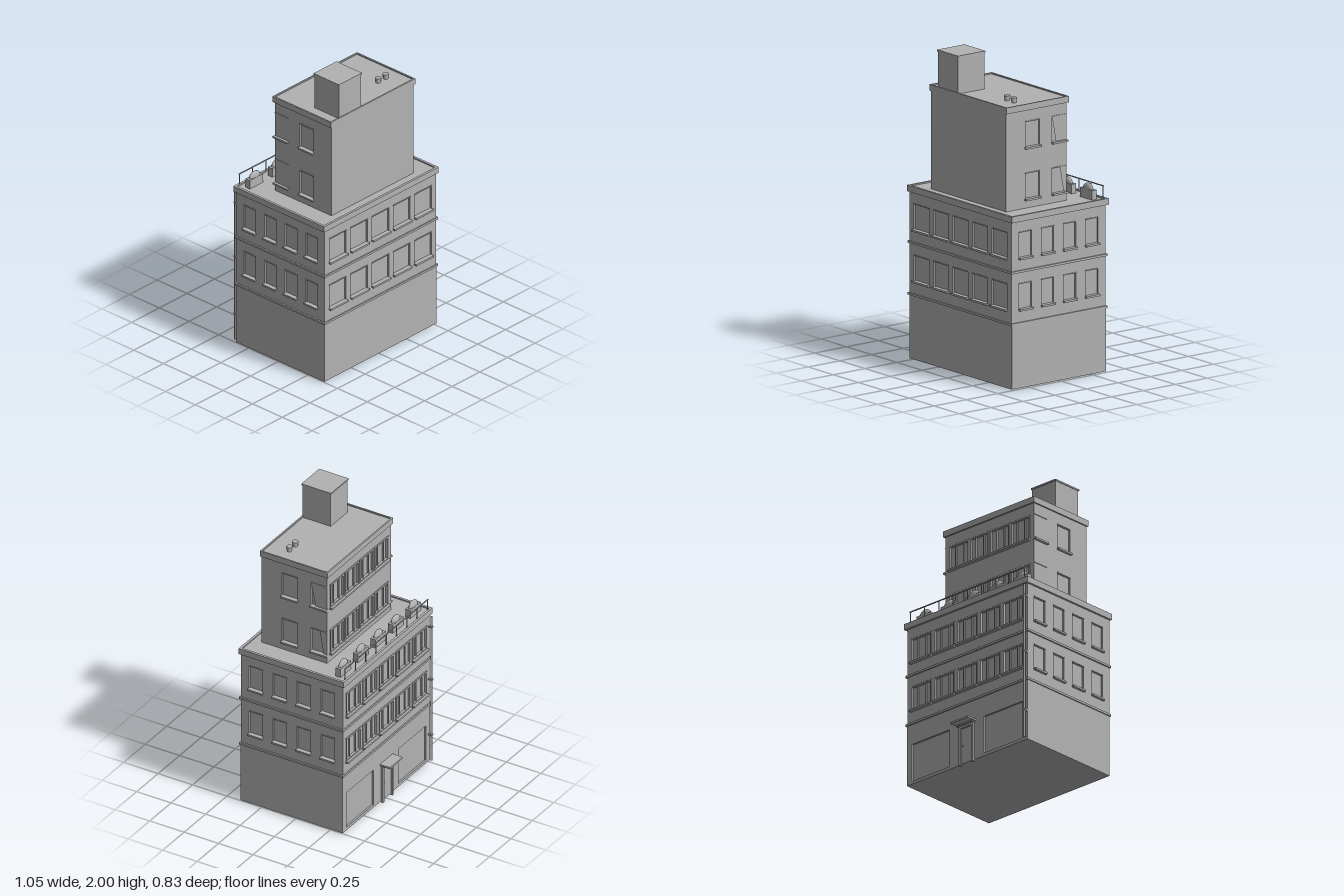
import * as THREE from 'three';

const concrete = new THREE.MeshStandardMaterial({ color: 0xb2b2b2 });
concrete.name = 'concrete grey';
const T = 0.012; // depth of the wall skin, and so of the window recesses

function add(parent, name, geometry, x = 0, y = 0, z = 0) {
  const mesh = new THREE.Mesh(geometry, concrete);
  mesh.name = name;
  mesh.position.set(x, y, z);
  parent.add(mesh);
  return mesh;
}

// Box given by its lower and upper corners
function box(parent, name, x0, x1, y0, y1, z0, z1) {
  return add(parent, name, new THREE.BoxGeometry(x1 - x0, y1 - y0, z1 - z0),
    (x0 + x1) / 2, (y0 + y1) / 2, (z0 + z1) / 2);
}

function rectanglePath(path, x0, x1, y0, y1) {
  path.moveTo(x0, y0);
  path.lineTo(x1, y0);
  path.lineTo(x1, y1);
  path.lineTo(x0, y1);
  path.closePath();
  return path;
}

// Wall plate with rectangular openings, outer face at z = 0
function wall(parent, name, width, y0, y1, openings) {
  const shape = rectanglePath(new THREE.Shape(), -width / 2, width / 2, y0, y1);
  for (const o of openings) shape.holes.push(rectanglePath(new THREE.Path(), o.x0, o.x1, o.y0, o.y1));
  add(parent, name, new THREE.ExtrudeGeometry(shape, { depth: T, bevelEnabled: false }), 0, 0, -T);
}

// Frame and mullions inside an opening
function windowFrame(parent, o) {
  const b = 0.008, z0 = -T, z1 = 0.004;
  box(parent, 'windowFrameTop', o.x0, o.x1, o.y1 - b, o.y1, z0, z1);
  box(parent, 'windowFrameBottom', o.x0, o.x1, o.y0, o.y0 + b, z0, z1);
  box(parent, 'windowFrameSide', o.x0, o.x0 + b, o.y0, o.y1, z0, z1);
  box(parent, 'windowFrameSide', o.x1 - b, o.x1, o.y0, o.y1, z0, z1);
  for (const f of [0.3, 0.7]) {
    const x = o.x0 + (o.x1 - o.x0) * f;
    box(parent, 'mullion', x - 0.003, x + 0.003, o.y0, o.y1, z0, -0.002);
  }
}

// One face of a block: openings, sills, lintels and optional frames
function facade(parent, name, angle, width, offset, y0, y1, centres, winW, rows, framed) {
  const g = new THREE.Group();
  g.name = name;
  g.rotation.y = angle;
  const openings = [];
  for (const y of rows) for (const c of centres) {
    openings.push({ x0: c - winW / 2 + 0.004, x1: c + winW / 2 - 0.004, y0: y, y1: y + 0.16 });
  }
  wall(g, 'wallSkin', width, y0, y1, openings);
  for (const o of openings) {
    box(g, 'sill', o.x0 - 0.004, o.x1 + 0.004, o.y0 - 0.012, o.y0, -T, framed ? 0.02 : 0.018);
    box(g, 'lintel', o.x0 - 0.002, o.x1 + 0.002, o.y1, o.y1 + 0.005, -T, 0.005);
    if (framed) windowFrame(g, o);
  }
  g.position.set(Math.sin(angle) * offset, 0, Math.cos(angle) * offset);
  parent.add(g);
}

// Rectangular block with four facades; centres are given in model axes about the block's middle
function block(parent, name, b, faces) {
  const g = new THREE.Group();
  g.name = name;
  g.position.set(b.cx, 0, b.cz);
  box(g, 'core', -b.w / 2 + T, b.w / 2 - T, b.y0, b.y1, -b.d / 2 + T, b.d / 2 - T);
  facade(g, 'frontFacade', 0, b.w, b.d / 2, b.y0, b.y1, faces.front, faces.frontW, b.rows, false);
  facade(g, 'backFacade', Math.PI, b.w, b.d / 2, b.y0, b.y1, faces.back, faces.backW, b.rows, true);
  facade(g, 'leftFacade', Math.PI / 2, b.d - 2 * T, b.w / 2, b.y0, b.y1, faces.side.map(z => -z), faces.sideW, b.rows, false);
  facade(g, 'rightFacade', -Math.PI / 2, b.d - 2 * T, b.w / 2, b.y0, b.y1, faces.side, faces.sideW, b.rows, false);
  parent.add(g);
}

// Roof slab with a low rim
function roof(parent, name, x0, x1, z0, z1, y0, y1, rim) {
  box(parent, name + 'Slab', x0, x1, y0, y1 - 0.008, z0, z1);
  const shape = rectanglePath(new THREE.Shape(), x0, x1, -z1, -z0);
  shape.holes.push(rectanglePath(new THREE.Path(), x0 + rim, x1 - rim, -z1 + rim, -z0 - rim));
  const geo = new THREE.ExtrudeGeometry(shape, { depth: 0.008, bevelEnabled: false });
  geo.rotateX(-Math.PI / 2);
  add(parent, name + 'Rim', geo, 0, y1 - 0.008, 0);
}

const spread = (n, pitch) => Array.from({ length: n }, (_, i) => (i - (n - 1) / 2) * pitch);

export function createModel() {
  const model = new THREE.Group();
  model.name = 'officeBuilding';

  // Ground floor with shallow shopfronts on the back
  const ground = new THREE.Group();
  ground.name = 'groundFloor';
  box(ground, 'groundFloorCore', -0.508, 0.508, 0.01, 0.415, -0.345 + T, 0.396);
  const shops = new THREE.Group();
  shops.name = 'shopfront';
  shops.rotation.y = Math.PI;
  shops.position.z = -0.345;
  wall(shops, 'shopWall', 1.016, 0.01, 0.415, [
    { x0: -0.465, x1: -0.15, y0: 0.03, y1: 0.28 },
    { x0: 0.14, x1: 0.465, y0: 0.03, y1: 0.28 },
  ]);
  ground.add(shops);
  model.add(ground);

  // Entrance door and canopy
  const door = new THREE.Group();
  door.name = 'entrance';
  box(door, 'doorLeaf', -0.047, 0.047, 0.01, 0.25, -0.349, -0.34);
  for (const s of [-1, 1]) box(door, 'doorJamb', s * 0.053 - 0.007, s * 0.053 + 0.007, 0, 0.262, -0.36, -0.34);
  box(door, 'doorHead', -0.06, 0.06, 0.248, 0.262, -0.36, -0.34);
  box(door, 'canopy', -0.074, 0.074, 0.27, 0.282, -0.418, -0.34);
  box(door, 'canopySupport', -0.065, 0.065, 0.262, 0.27, -0.375, -0.34);
  add(door, 'doorKnob', new THREE.SphereGeometry(0.005, 10, 8), 0.034, 0.13, -0.352);
  model.add(door);

  // Two middle storeys
  block(model, 'middleStoreys',
    { cx: 0, cz: 0.0255, w: 1.01, d: 0.741, y0: 0.415, y1: 1.07, rows: [0.512, 0.838] },
    { front: spread(5, 0.193), frontW: 0.16, back: spread(5, 0.193), backW: 0.178,
      side: spread(4, 0.174), sideW: 0.106 });
  for (const y of [0.42, 0.75]) box(model, 'stringCourse', -0.515, 0.515, y - 0.006, y + 0.008, -0.353, 0.403);
  roof(model, 'terrace', -0.519, 0.519, -0.359, 0.404, 1.07, 1.11, 0.016);

  // Two set-back upper storeys
  block(model, 'upperStoreys',
    { cx: -0.002, cz: 0.0935, w: 0.744, d: 0.477, y0: 1.1, y1: 1.725, rows: [1.162, 1.49] },
    { front: [], frontW: 0.1, back: spread(4, 0.172), backW: 0.17, side: [-0.18, 0.031], sideW: 0.12 });
  roof(model, 'upperRoof', -0.384, 0.38, -0.155, 0.336, 1.725, 1.765, 0.01);

  // Stair head and roof vents
  box(model, 'stairHead', -0.304, -0.106, 1.75, 1.99, 0.125, 0.33);
  box(model, 'stairHeadCap', -0.309, -0.101, 1.99, 2, 0.12, 0.335);
  for (const x of [0.202, 0.27]) {
    add(model, 'roofVent', new THREE.CylinderGeometry(0.016, 0.016, 0.03, 20), x, 1.77, 0.19);
    add(model, 'roofVentCap', new THREE.CylinderGeometry(0.02, 0.02, 0.012, 20), x, 1.783, 0.19);
  }

  // Planters with clipped shrubs
  for (const x of spread(5, 0.204)) {
    box(model, 'planter', x - 0.06, x + 0.06, 1.1, 1.162, -0.304, -0.267);
    add(model, 'shrub', new THREE.SphereGeometry(1, 20, 12), x, 1.162, -0.285).scale.set(0.046, 0.037, 0.018);
  }

  // Terrace railing
  const railing = new THREE.Group();
  railing.name = 'railing';
  box(railing, 'topRail', -0.485, 0.485, 1.181, 1.187, -0.348, -0.342);
  for (const x of spread(9, 0.12)) box(railing, 'railPost', x - 0.0025, x + 0.0025, 1.1, 1.183, -0.3475, -0.3425);
  model.add(railing);

  // Drainpipe at the back corner
  add(model, 'drainpipe', new THREE.CylinderGeometry(0.007, 0.007, 1.04, 12), -0.497, 0.54, -0.364);
  for (const y of [0.2, 0.6, 0.98]) box(model, 'pipeBracket', -0.506, -0.488, y, y + 0.01, -0.372, -0.344);

  return model;
}
